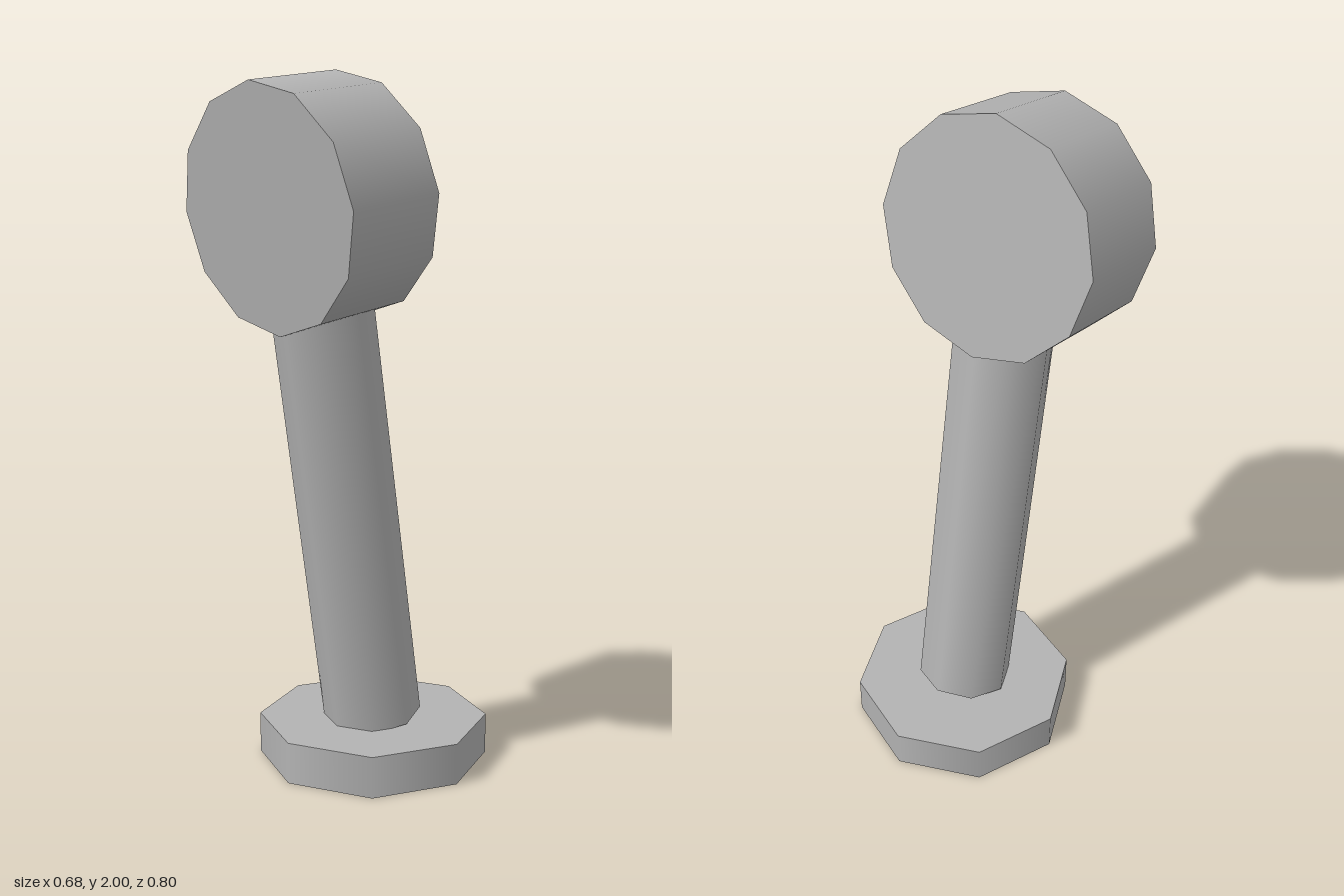
import * as THREE from 'three';

export function createModel() {
  const group = new THREE.Group();
  const grey = new THREE.MeshStandardMaterial({ color: 0xb3b3b3 });
  grey.name = 'grey';

  // Smooth-sided cylinder, tilted about x
  const addCylinder = (name, radius, length, sides, y, z, tilt) => {
    const mesh = new THREE.Mesh(new THREE.CylinderGeometry(radius, radius, length, sides), grey);
    mesh.name = name;
    mesh.position.set(0, y, z);
    mesh.rotation.x = tilt;
    group.add(mesh);
  };

  // Octagonal foot plate
  addCylinder('base', 0.34, 0.12, 8, 0.06, -0.06, 0);

  // Forward-leaning pole, running from the plate into the head
  const lean = 0.16, length = 1.5;
  addCylinder('pole', 0.145, length, 8,
    0.127 + Math.cos(lean) * length / 2, -0.057 + Math.sin(lean) * length / 2, lean);

  // Twelve-sided drum facing forward and slightly down
  addCylinder('head', 0.34, 0.315, 12, 1.64, 0.191, Math.PI / 2 + 0.15);

  return group;
}
